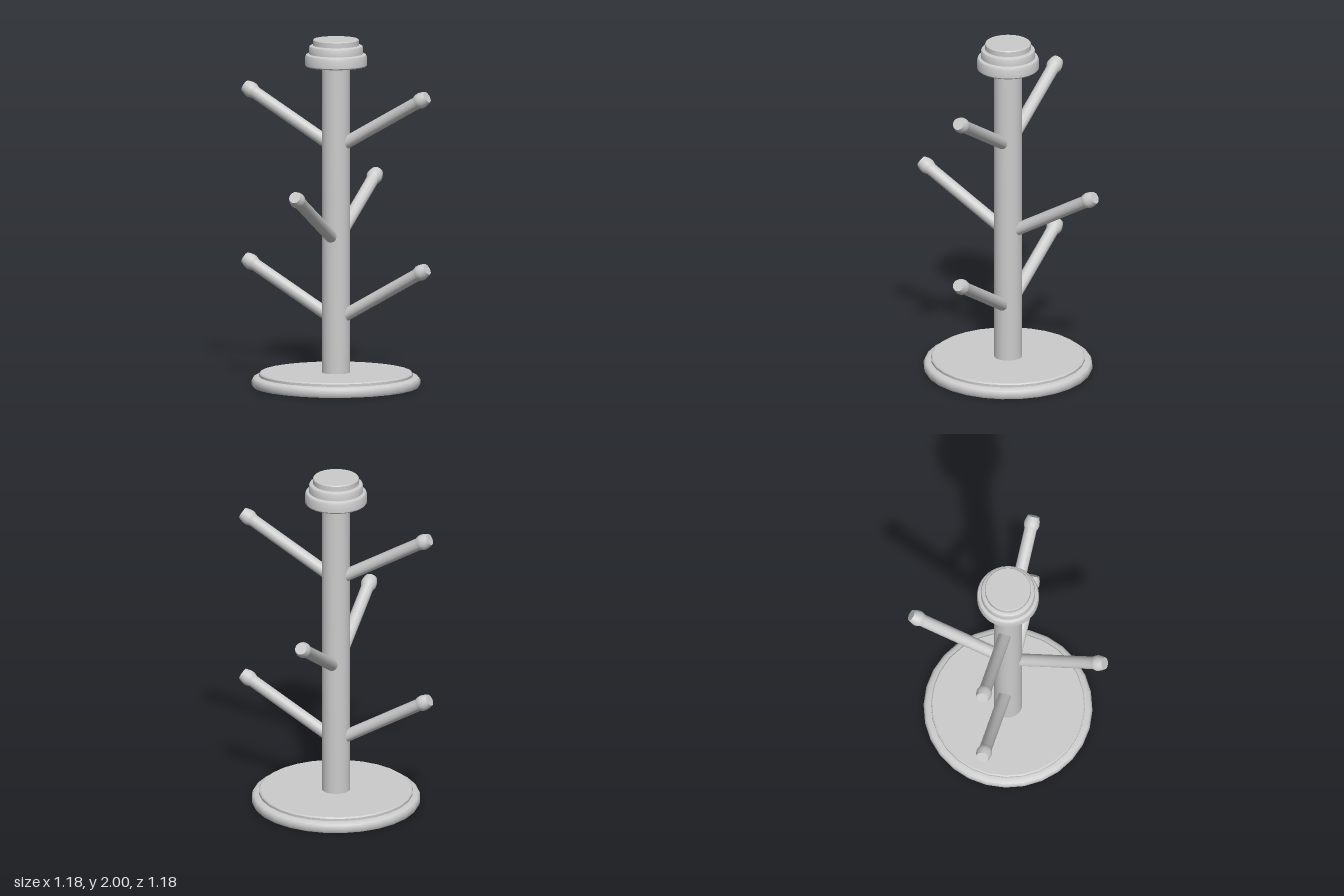
import * as THREE from 'three';
import { toCreasedNormals } from 'three/addons/utils/BufferGeometryUtils.js';

const material = new THREE.MeshStandardMaterial({ color: 0xcccccc, side: THREE.DoubleSide });

// Turned part from [radius, height] pairs, listed bottom to top
function turned(name, profile, segments) {
  const points = profile.map(([r, y]) => new THREE.Vector2(r, y));
  const geometry = toCreasedNormals(new THREE.LatheGeometry(points, segments), 0.6);
  const mesh = new THREE.Mesh(geometry, material);
  mesh.name = name;
  return mesh;
}

export function createModel() {
  const group = new THREE.Group();
  group.name = 'mugTree';

  // Hollow base plate, open underneath, with a rounded rim and a raised step
  group.add(turned('base', [
    [0.475, 0], [0.482, 0.012], [0.482, 0.036], [0.475, 0.049], [0.46, 0.057],
    [0.44, 0.059], [0.44, 0.073], [0.433, 0.08], [0.08, 0.08],
  ], 28));

  // Hollow post
  group.add(turned('post', [[0.081, 0.08], [0.081, 1.85]], 32));

  // Stepped finial with softened edges
  group.add(turned('finial', [
    [0, 1.845], [0.172, 1.845], [0.177, 1.852], [0.177, 1.898], [0.172, 1.911], [0.163, 1.916],
    [0.155, 1.917], [0.155, 1.952], [0.151, 1.961], [0.143, 1.965],
    [0.131, 1.966], [0.131, 1.995], [0.127, 2], [0, 2],
  ], 40));

  // Pegs rise 30 degrees from the post and end in a small knob
  const length = 0.6;
  const pegProfile = [
    [0.036, 0], [0.036, length - 0.078], [0.041, length - 0.066], [0.045, length - 0.052],
    [0.045, length - 0.038], [0.041, length - 0.02], [0.034, length], [0, length],
  ];
  const addPeg = (name, tipY, turn) => {
    const arm = new THREE.Group();
    arm.name = name;
    const peg = turned('peg', pegProfile, 20);
    peg.rotation.z = -Math.PI / 3;
    peg.position.set(0.571 - length * Math.cos(Math.PI / 6), tipY - length / 2, 0);
    arm.add(peg);
    arm.rotation.y = turn;
    group.add(arm);
  };

  // Three opposed pairs, the middle one turned a quarter
  [['lower', 0.708, 0], ['middle', 1.162, Math.PI / 2], ['upper', 1.7, 0]].forEach(([tier, y, turn]) => {
    addPeg(`${tier}PegA`, y, turn);
    addPeg(`${tier}PegB`, y, turn + Math.PI);
  });

  return group;
}
